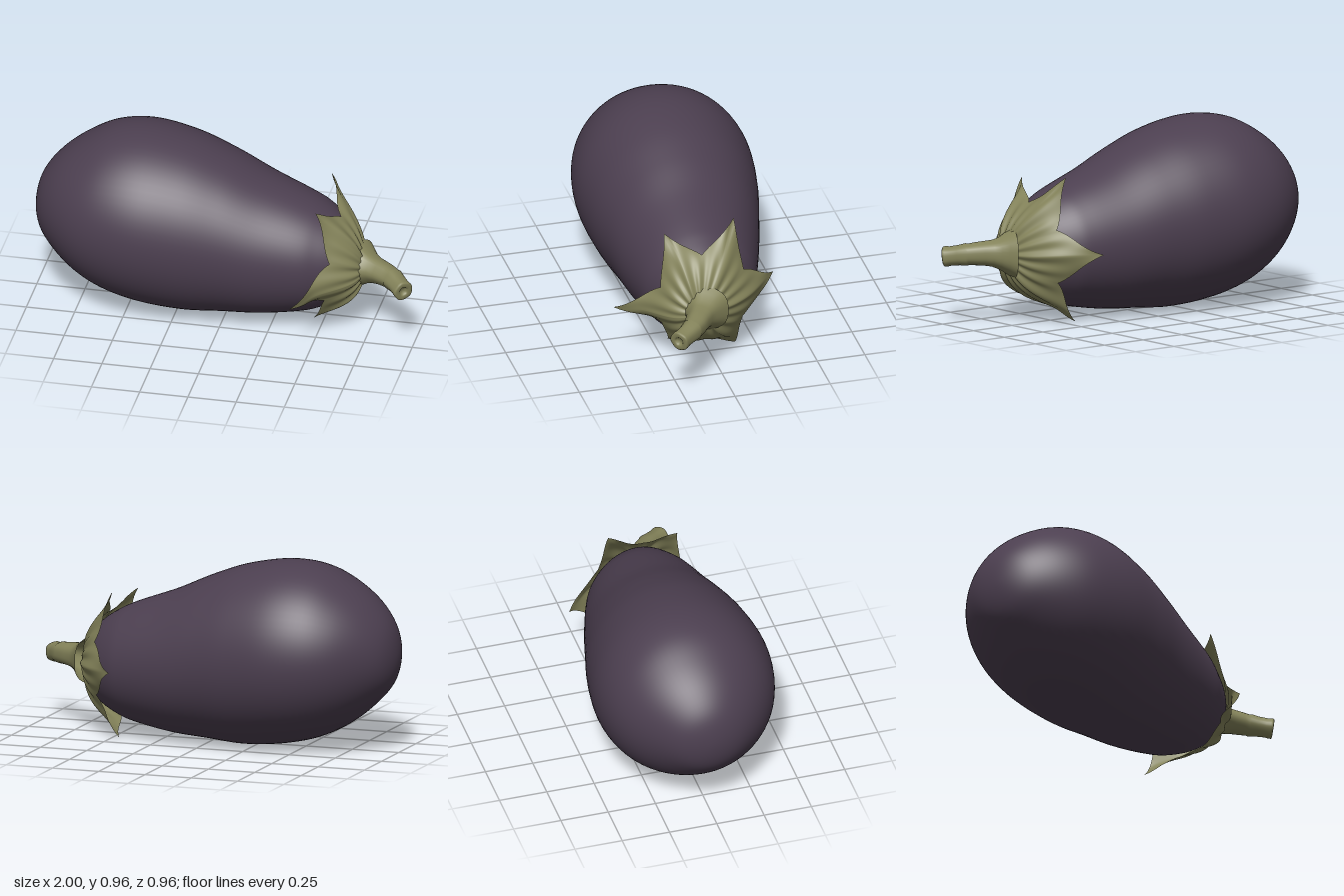
import * as THREE from 'three';
import { mergeVertices } from 'three/addons/utils/BufferGeometryUtils.js';

const V = (x, y, z) => new THREE.Vector3(x, y, z);

// Smooth skin through closed rings; point(i, j) gives the ring points
function loft(rings, segs, point) {
  const pos = [], index = [];
  for (let i = 0; i < rings; i++)
    for (let j = 0; j < segs; j++) pos.push(...point(i, j).toArray());
  for (let i = 0; i < rings - 1; i++)
    for (let j = 0; j < segs; j++) {
      const k = (j + 1) % segs;
      const a = i * segs + j, b = a + segs, c = i * segs + k, d = c + segs;
      index.push(a, b, c, c, b, d);
    }
  let geo = new THREE.BufferGeometry();
  geo.setAttribute('position', new THREE.Float32BufferAttribute(pos, 3));
  geo.setIndex(index);
  geo = mergeVertices(geo, 1e-5);
  geo.computeVertexNormals();
  return geo;
}

// Fruit sections: x, top, bottom, back, front (the first only rounds the blunt end)
const sections = [
  [-0.97, 0.36, 0.65, 0.13, -0.16],
  [-1, 0.5, 0.5, -0.015, -0.015],
  [-0.97, 0.65, 0.36, -0.16, 0.13],
  [-0.88, 0.775, 0.25, -0.285, 0.26],
  [-0.75, 0.875, 0.145, -0.395, 0.365],
  [-0.6, 0.945, 0.07, -0.46, 0.425],
  [-0.42, 0.965, 0.025, -0.48, 0.45],
  [-0.2, 0.93, 0.005, -0.45, 0.435],
  [0, 0.86, 0.018, -0.4, 0.405],
  [0.2, 0.77, 0.033, -0.345, 0.375],
  [0.4, 0.695, 0.068, -0.28, 0.335],
  [0.5, 0.65, 0.1, -0.235, 0.3],
  [0.6, 0.585, 0.15, -0.155, 0.255],
  [0.67, 0.505, 0.215, -0.06, 0.205],
  [0.71, 0.42, 0.295, 0.03, 0.15],
  [0.72, 0.36, 0.36, 0.085, 0.085],
];
const spline = (f) => new THREE.CatmullRomCurve3(sections.map(f), false, 'catmullrom', 0.5);
const vertical = spline(([x, t, b]) => V(x, (t + b) / 2, (t - b) / 2));
const sideways = spline(([x, , , k, f]) => V(x, (f + k) / 2, (f - k) / 2));
const START = 1 / (sections.length - 1);

// Point on the fruit at spline parameter s and angle a, pushed outwards by lift
function skin(s, a, lift = 0) {
  const v = vertical.getPoint(s), h = sideways.getPoint(s);
  return V(v.x + lift * 0.35, v.y + (v.z + lift) * Math.sin(a), h.y + (h.z + lift) * Math.cos(a));
}
function paramAt(x) {
  let lo = 0.3, hi = 1;
  for (let i = 0; i < 24; i++) {
    const m = (lo + hi) / 2;
    if (vertical.getPoint(m).x < x) lo = m; else hi = m;
  }
  return lo;
}

// Calyx rim, valley and tip in turn: angle in degrees, x, lift of the tip
const rim = [
  [18, 0.57, 0], [58, 0.46, 0.085], [86, 0.585, 0], [113, 0.46, 0.1],
  [149, 0.58, 0], [180, 0.41, 0.06], [215, 0.57, 0], [244, 0.42, 0.085],
  [272, 0.51, 0], [303, 0.46, 0.03], [328, 0.54, 0], [347, 0.36, 0.13], [378, 0.57, 0],
];

function calyxGeometry() {
  const steps = 18, rows = 36, cols = [];
  for (let k = 0; k < rim.length - 1; k++)
    for (let j = 0; j < steps; j++) {
      const f = j / steps, [a0, x0, l0] = rim[k], [a1, x1, l1] = rim[k + 1];
      const u = k % 2 ? 1 - f : f;                 // 0 in a valley, 1 at a tip
      const [valley, tip] = k % 2 ? [x1, x0] : [x0, x1];
      const reach = 0.62 * Math.pow(u, 0.9) + 0.38 * Math.pow(u, 7);
      cols.push({
        a: THREE.MathUtils.degToRad(a0 + (a1 - a0) * f), u,
        lift: Math.max(l0, l1), s: paramAt(valley + (tip - valley) * reach),
      });
    }
  return loft(rows, cols.length, (i, j) => {
    const c = cols[j], t = 1 - i / (rows - 1);     // t = 1 on the rim
    const ridge = 0.013 * Math.sin(Math.PI * t) * (Math.pow(c.u, 3) + 0.4 * Math.cos(c.a * 18));
    const curl = c.lift * Math.pow(c.u, 2.5) * Math.pow(t, 5);
    return skin(1 + (c.s - 1) * t, c.a, 0.017 + ridge + curl);
  });
}

// Stem swept along a bent path, flared at the base and hollowed at the cut end
function stemGeometry() {
  const path = new THREE.CatmullRomCurve3([
    V(0.68, 0.36, 0.075), V(0.74, 0.36, 0.105), V(0.81, 0.362, 0.143),
    V(0.88, 0.358, 0.19), V(0.965, 0.342, 0.287),
  ]);
  const profile = [
    [0, 0.13], [0.1, 0.106], [0.2, 0.082], [0.3, 0.068], [0.42, 0.062], [0.55, 0.058],
    [0.64, 0.054], [0.67, 0.057], [0.78, 0.051], [0.9, 0.049], [0.96, 0.052], [0.99, 0.051],
    [1, 0.046], [1, 0.028], [0.985, 0.022], [0.96, 0.017], [0.955, 0],
  ];
  const segs = 32;
  return loft(profile.length, segs, (i, j) => {
    const [t, r] = profile[i], a = (j / segs) * Math.PI * 2;
    const T = path.getTangentAt(t);
    const N = V(0, 1, 0).addScaledVector(T, -T.y).normalize();
    const B = T.clone().cross(N);
    const R = r * (1 + 0.03 * Math.cos(5 * a));
    return path.getPointAt(t).addScaledVector(B, R * Math.cos(a)).addScaledVector(N, R * Math.sin(a));
  });
}

export function createModel() {
  const purple = new THREE.MeshStandardMaterial({ color: 0x4c3f50 });
  purple.name = 'aubergine purple';
  const green = new THREE.MeshStandardMaterial({ color: 0x84835a, side: THREE.DoubleSide });
  green.name = 'olive green';

  const group = new THREE.Group();
  group.name = 'aubergine';
  const add = (name, geo, mat) => {
    const mesh = new THREE.Mesh(geo, mat);
    mesh.name = name;
    group.add(mesh);
  };

  const rings = 91, segs = 72;
  add('fruit', loft(rings, segs, (i, j) =>
    skin(START + (1 - START) * i / (rings - 1), (j / segs) * Math.PI * 2)), purple);
  add('calyx', calyxGeometry(), green);
  add('stem', stemGeometry(), green);
  return group;
}
